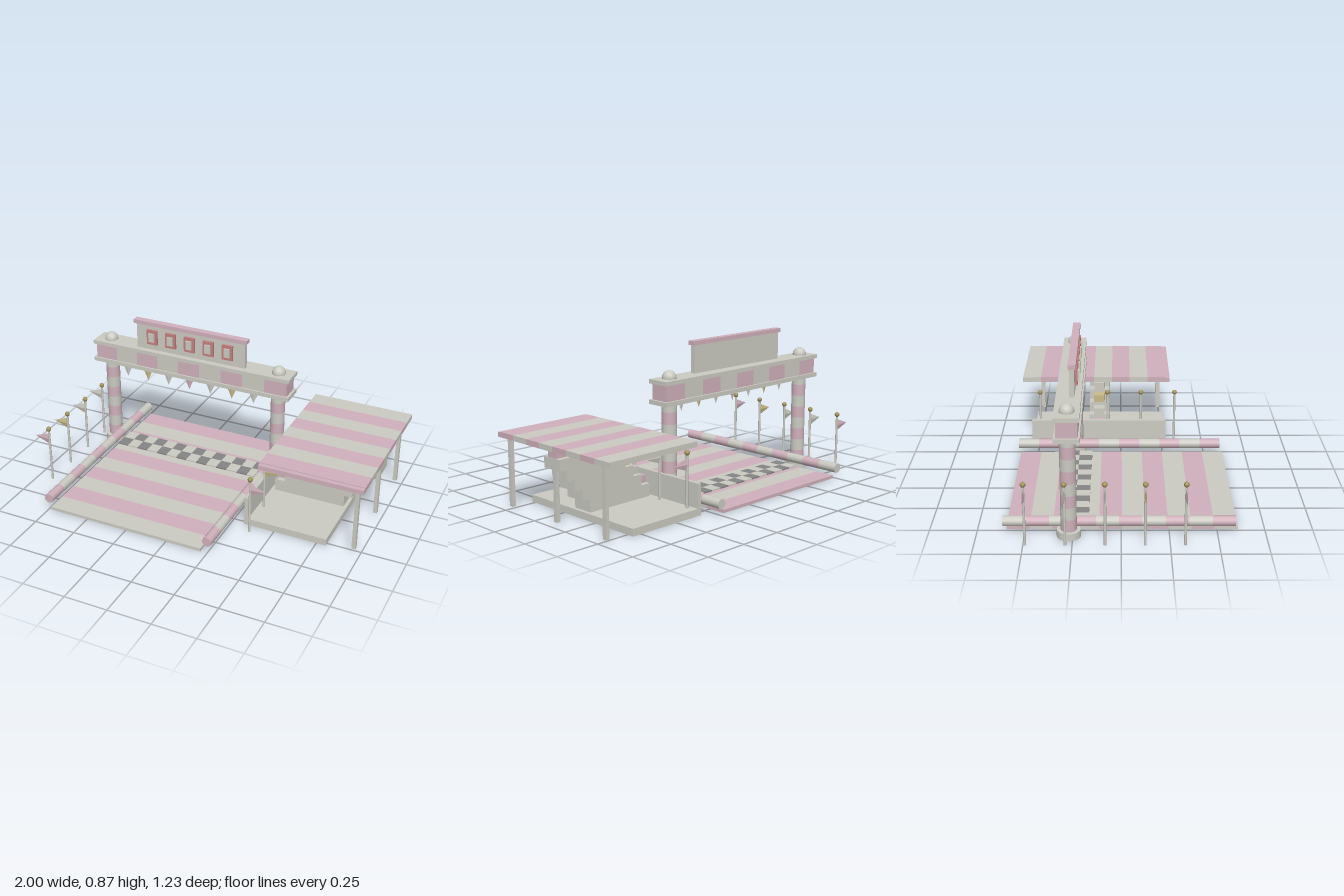
import * as THREE from 'three';

const mat = (name, color) => {
  const m = new THREE.MeshStandardMaterial({ color });
  m.name = name;
  return m;
};

export function createModel() {
  const root = new THREE.Group();
  root.name = 'raceStartArea';
  const grey = mat('warmGrey', 0xcbcbc3), pink = mat('palePink', 0xcfb0bb);
  const yellow = mat('paleYellow', 0xcabb8a), red = mat('dustyRed', 0xc58080);
  const dark = mat('darkGrey', 0x858585), gold = mat('gold', 0xa4935c);

  const add = (name, geo, m, x = 0, y = 0, z = 0) => {
    const mesh = new THREE.Mesh(geo, m);
    mesh.name = name;
    mesh.position.set(x, y, z);
    root.add(mesh);
    return mesh;
  };
  // Box given by its two opposite corners
  const box = (name, m, x0, x1, y0, y1, z0, z1) =>
    add(name, new THREE.BoxGeometry(x1 - x0, y1 - y0, z1 - z0), m,
      (x0 + x1) / 2, (y0 + y1) / 2, (z0 + z1) / 2);
  // Flattened four-sided cone used for flags and pennants
  const flag = (name, m, r, len, x, y, z, turn) => {
    const g = new THREE.ConeGeometry(r, len, 4).toNonIndexed();
    g.scale(1, 1, 0.22);
    g.computeVertexNormals();
    add(name, g, m, x, y, z).rotation.z = turn;
  };

  // Striped deck
  const step = 1.21 / 10;
  for (let i = 0; i < 10; i++) {
    box('deckStripe', i % 2 ? grey : pink, -0.735, 0.21, 0, 0.018, -0.6 + i * step, -0.6 + (i + 1) * step);
  }

  // Chequered start line
  const cell = 0.945 / 14;
  for (let r = 0; r < 2; r++) {
    for (let c = 0; c < 14; c++) {
      const x = -0.735 + c * cell, z = -0.325 + r * 0.077;
      box('startLineCell', (r + c) % 2 ? dark : grey, x, x + cell, 0.018, 0.026, z, z + 0.077);
    }
  }

  // Striped barrier tubes along both sides of the deck
  for (const x of [-0.757, 0.241]) {
    for (let i = 0; i < 10; i++) {
      add('barrierTube', new THREE.CylinderGeometry(0.028, 0.028, step, 12), i % 2 ? pink : grey,
        x, 0.06, -0.615 + (i + 0.5) * step).rotation.x = Math.PI / 2;
    }
  }

  // Arch posts with banded shafts, feet and domes
  for (const x of [-0.806, 0.288]) {
    add('postFoot', new THREE.CylinderGeometry(0.063, 0.063, 0.04, 16), grey, x, 0.02, -0.27);
    for (let i = 0; i < 8; i++) {
      add('postBand', new THREE.CylinderGeometry(0.042, 0.042, 0.0675, 14), i % 2 ? grey : pink,
        x, 0.04 + (i + 0.5) * 0.0675, -0.27);
    }
    add('postDome', new THREE.SphereGeometry(0.04, 14, 10), grey, x, 0.695, -0.27);
  }

  // Arch beam: two slabs around a panelled core
  box('beamLowerSlab', grey, -0.895, 0.375, 0.555, 0.579, -0.336, -0.204);
  box('beamUpperSlab', grey, -0.895, 0.375, 0.667, 0.69, -0.336, -0.204);
  const panel = 1.24 / 9;
  for (let i = 0; i < 9; i++) {
    box('beamPanel', i % 2 ? grey : pink, -0.88 + i * panel, -0.88 + (i + 1) * panel, 0.579, 0.667, -0.324, -0.214);
  }

  // Hanging pennants
  const pennantMats = [grey, yellow, grey, pink];
  for (let i = 0; i < 7; i++) {
    flag('pennant', pennantMats[i % 4], 0.03, 0.07, -0.675 + i * 0.138, 0.52, -0.225, Math.PI);
  }

  // Sign board with five framed counters
  box('signBoard', grey, -0.61, 0.09, 0.69, 0.846, -0.265, -0.238);
  box('signCap', pink, -0.625, 0.102, 0.845, 0.869, -0.27, -0.229);
  for (let i = 0; i < 5; i++) {
    const x = -0.505 + i * 0.122;
    box('counterFrame', red, x - 0.033, x + 0.033, 0.728, 0.82, -0.238, -0.224);
    box('counterFace', grey, x - 0.018, x + 0.018, 0.747, 0.801, -0.224, -0.215);
  }

  // Flagpoles on both sides
  const flagMats = [pink, grey, grey, yellow, pink];
  for (const [x, side] of [[-0.906, -1], [0.375, 1]]) {
    flagMats.forEach((m, i) => {
      const z = -0.49 + i * 0.204;
      add('flagPole', new THREE.CylinderGeometry(0.007, 0.007, 0.335, 8), grey, x, 0.1675, z);
      add('poleBall', new THREE.SphereGeometry(0.015, 8, 6), gold, x, 0.34, z);
      flag('sideFlag', m, 0.034, 0.09, x + side * 0.05, 0.277, z, -side * Math.PI / 2);
    });
  }

  // Grandstand floor and wall
  box('standFloor', grey, 0.32, 0.805, 0, 0.04, -0.54, 0.272);
  box('standWall', grey, 0.32, 0.343, 0.04, 0.176, -0.54, 0.272);

  // Rising rows with seats
  const seatMats = [pink, grey, yellow, grey];
  const seat = (m, x, y) => box('seat', m, x, x + 0.064, y, y + 0.042, -0.165, -0.1);
  for (let i = 0; i < 5; i++) {
    const x = 0.365 + i * 0.058, top = 0.112 + i * 0.0615;
    box('standRow', grey, x, 0.785 + i * 0.049, i ? top - 0.0615 : 0.04, top, -0.193, -0.071);
    if (i < 4) seat(seatMats[i], x, top);
    else for (let k = 0; k < 5; k++) seat(k === 3 ? yellow : pink, 0.603 + k * 0.078, top);
  }

  // Striped canopy, front valance and support posts
  const cs = 0.108;
  for (let i = 0; i < 8; i++) {
    box('canopyStripe', i % 2 ? pink : grey, 0.405, 1, 0.396, 0.426, -0.594 + i * cs, -0.594 + (i + 1) * cs);
  }
  box('canopyValance', pink, 0.405, 1, 0.396, 0.422, 0.27, 0.297);
  for (const z of [-0.512, -0.133, 0.245]) {
    box('canopyPost', grey, 0.945, 0.967, 0.015, 0.396, z - 0.012, z + 0.012);
  }

  return root;
}
